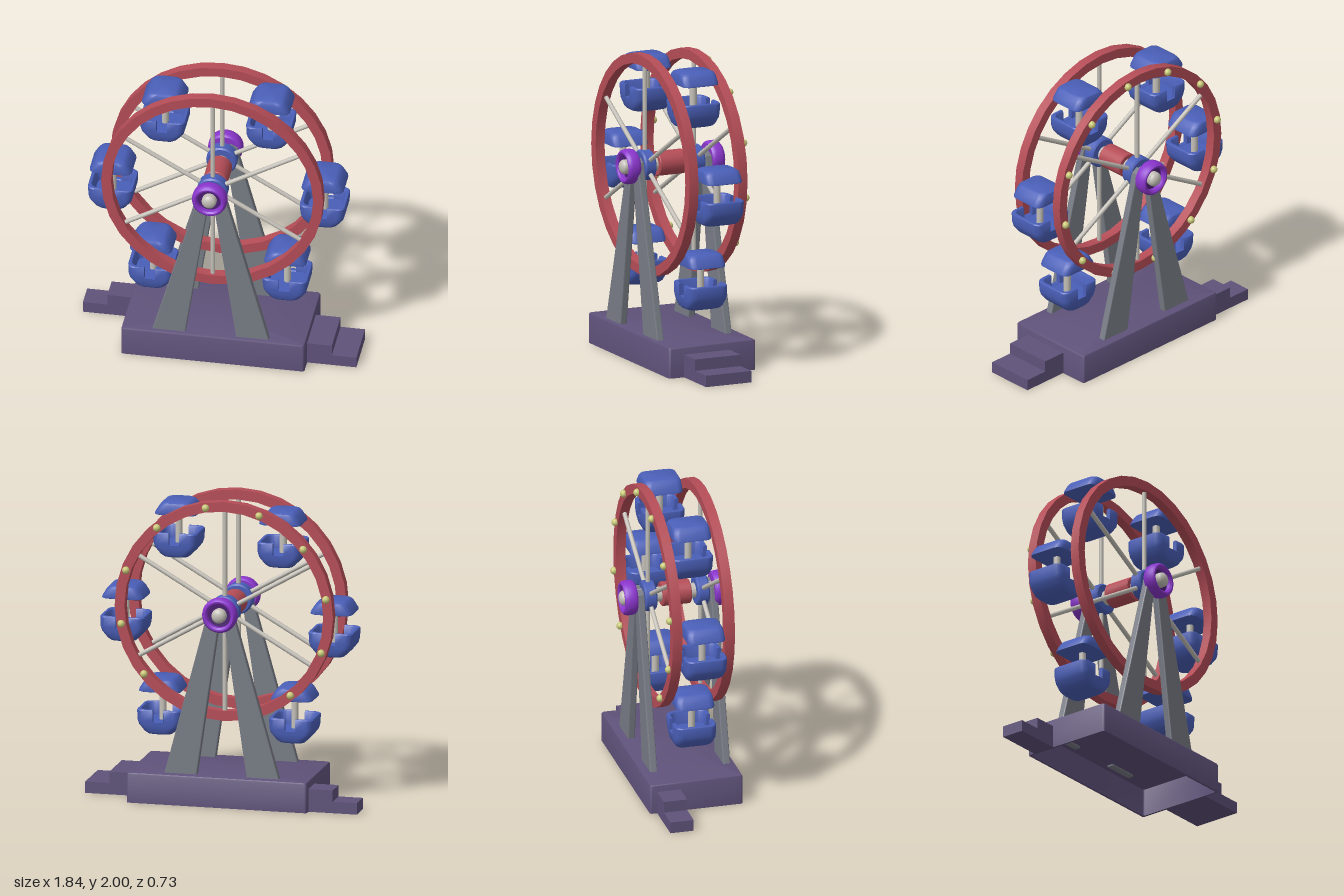
import * as THREE from 'three';
import { toCreasedNormals } from 'three/addons/utils/BufferGeometryUtils.js';

const mat = (name, color, side = THREE.FrontSide) => {
  const m = new THREE.MeshStandardMaterial({ color, side });
  m.name = name;
  return m;
};

// Stack of rounded rectangles; rows are [y, halfX, halfZ]. The optional notch
// lowers the middle of the front and back walls to notchY.
function loft(rows, corner, notch = 0.036, notchY = Infinity) {
  const pos = [], index = [];
  let cols = 0;
  for (const [y, hx, hz] of rows) {
    const r = Math.min(corner, hx, hz), n = Math.min(notch, hx - r);
    const start = pos.length;
    for (let q = 0; q < 4; q++) {
      const sx = q === 0 || q === 3 ? 1 : -1, sz = q < 2 ? 1 : -1;
      for (let k = 0; k <= 4; k++) {
        const a = (q + k / 4) * Math.PI / 2;
        pos.push(sx * (hx - r) + r * Math.cos(a), y, sz * (hz - r) + r * Math.sin(a));
      }
      if (q % 2 === 0) {
        const low = Math.min(y, notchY);
        pos.push(sx * n, y, sz * hz, sx * n, low, sz * hz, -sx * n, low, sz * hz, -sx * n, y, sz * hz);
      }
    }
    cols = (pos.length - start) / 3;
  }
  for (let i = 0; i < rows.length - 1; i++) {
    for (let j = 0; j < cols; j++) {
      const a = i * cols + j, b = i * cols + (j + 1) % cols;
      index.push(a, a + cols, b, b, a + cols, b + cols);
    }
  }
  const g = new THREE.BufferGeometry();
  g.setAttribute('position', new THREE.Float32BufferAttribute(pos, 3));
  g.setIndex(index);
  return toCreasedNormals(g, 0.7);
}

// Turned part whose axis runs along z; points are [radius, z].
function turned(points, segments = 32) {
  const g = new THREE.LatheGeometry(points.map(p => new THREE.Vector2(...p)), segments);
  g.rotateX(Math.PI / 2);
  return toCreasedNormals(g, 0.6);
}

export function createModel() {
  const model = new THREE.Group();
  model.name = 'ferrisWheel';
  const red = mat('red', 0xb54d57), blue = mat('blue', 0x4a5fb8), plum = mat('plum', 0x5f527a);
  const steel = mat('steel', 0x787c85), pale = mat('paleGrey', 0xc4c0b8), yellow = mat('yellow', 0xc9c978);
  const purple = mat('purple', 0x8a35cc), dark = mat('darkPurple', 0x4a1f72);

  const add = (parent, name, geometry, material, x = 0, y = 0, z = 0) => {
    const m = new THREE.Mesh(geometry, material);
    m.name = name;
    m.position.set(x, y, z);
    parent.add(m);
    return m;
  };

  // Hollow base, open underneath
  add(model, 'base', loft([
    [0.185, 0, 0], [0.185, 0.585, 0.295], [0, 0.585, 0.295], [0, 0.598, 0.31],
    [0.188, 0.598, 0.31], [0.197, 0.594, 0.306], [0.2, 0.586, 0.298], [0.2, 0, 0],
  ], 0.015), plum, 0, 0, -0.008);

  // Two steps at each end
  for (const [side, z, depth] of [[1, 0.033, 0.325], [-1, -0.193, 0.155]]) {
    add(model, 'upperStep', new THREE.BoxGeometry(0.165, 0.15, depth), plum, side * 0.6775, 0.075, z);
    add(model, 'lowerStep', new THREE.BoxGeometry(0.16, 0.075, depth), plum, side * 0.84, 0.0375, z);
  }

  // Tapered support legs, a pair in front and a pair behind
  const legs = [
    [[-0.405, 0.175], [-0.187, 0.175], [-0.02, 1.31], [-0.045, 1.335], [-0.085, 1.31]],
    [[0.15, 0.175], [0.367, 0.175], [0.067, 1.31], [0.025, 1.335], [-0.015, 1.31]],
  ];
  for (const z of [0.224, -0.262]) {
    for (const points of legs) {
      const shape = new THREE.Shape(points.map(p => new THREE.Vector2(...p)));
      const g = new THREE.ExtrudeGeometry(shape, {
        depth: 0.032, bevelEnabled: true, bevelThickness: 0.008, bevelSize: 0.006, bevelOffset: -0.006, bevelSegments: 2,
      });
      add(model, 'supportLeg', g, steel, 0, 0, z + 0.008);
    }
  }

  const wheel = new THREE.Group();
  wheel.name = 'wheel';
  wheel.position.set(-0.02, 1.275, 0);
  model.add(wheel);

  // Rims, spokes and flanges on both sides
  const rim = turned([[0.66, -0.032], [0.725, -0.032], [0.725, 0.032], [0.66, 0.032], [0.66, -0.032]]);
  const flange = turned([[0, -0.04], [0.09, -0.04], [0.1, -0.03], [0.1, 0.03], [0.09, 0.04], [0, 0.04]]);
  const spoke = new THREE.CylinderGeometry(0.015, 0.015, 0.63, 10);
  spoke.translate(0, 0.365, 0);
  for (const z of [0.176, -0.174]) {
    add(wheel, 'rim', rim, red, 0, 0, z);
    add(wheel, 'flange', flange, blue, 0, 0, z);
    for (let i = 0; i < 6; i++) add(wheel, 'spoke', spoke, pale, 0, 0, z).rotation.z = i * Math.PI / 3;
  }

  // Axle with its drum
  add(wheel, 'axle', turned([[0, -0.335], [0.048, -0.335], [0.048, 0.325], [0, 0.325]], 24), pale);
  add(wheel, 'drum', turned([[0, -0.09], [0.075, -0.09], [0.08, -0.085], [0.08, 0.095], [0.075, 0.1], [0, 0.1]]), red);

  // Dished hub caps outside the legs
  const cap = turned([
    [0, 0], [0.1, 0], [0.111, 0.012], [0.114, 0.03], [0.114, 0.06], [0.109, 0.078],
    [0.098, 0.088], [0.088, 0.087], [0.078, 0.078], [0.076, 0.045],
  ]);
  const dish = turned([[0.077, 0.052], [0, 0.045]]);
  const knob = new THREE.SphereGeometry(0.048, 20, 12);
  for (const side of [1, -1]) {
    const hub = new THREE.Group();
    hub.name = 'hub';
    hub.position.z = side > 0 ? 0.25 : -0.263;
    if (side < 0) hub.rotation.y = Math.PI;
    add(hub, 'hubCap', cap, purple);
    add(hub, 'hubDish', dish, dark);
    add(hub, 'hubKnob', knob, pale, 0, 0, 0.075).scale.z = 0.65;
    wheel.add(hub);
  }

  // Lights around the back rim
  const bulb = new THREE.SphereGeometry(0.025, 10, 8);
  for (let i = 0; i < 12; i++) {
    const a = (20 + 30 * i) * Math.PI / 180;
    add(wheel, 'light', bulb, yellow, 0.69 * Math.cos(a), 0.69 * Math.sin(a), -0.214);
  }

  // Cabins: canopy, pole and notched tub, measured down from the canopy top
  const canopy = loft([
    [-0.078, 0, 0], [-0.085, 0.132, 0.12], [-0.082, 0.138, 0.126], [-0.07, 0.136, 0.127],
    [-0.025, 0.108, 0.124], [-0.008, 0.094, 0.117], [0, 0.078, 0.1], [0, 0, 0],
  ], 0.045);
  const tub = loft([
    [-0.366, 0, 0], [-0.366, 0.065, 0.095], [-0.36, 0.083, 0.115], [-0.345, 0.1, 0.126], [-0.3, 0.136, 0.133],
    [-0.27, 0.145, 0.135], [-0.207, 0.148, 0.136], [-0.2, 0.143, 0.131], [-0.2, 0.128, 0.115],
    [-0.207, 0.123, 0.11], [-0.285, 0.112, 0.105], [-0.285, 0, 0],
  ], 0.045, 0.036, -0.28);
  const pole = new THREE.CylinderGeometry(0.023, 0.023, 0.22, 16);
  const spots = [[-0.362, 1.925], [0.33, 1.952], [-0.703, 1.353], [0.681, 1.377], [-0.44, 0.768], [0.436, 0.774]];
  for (const [x, y] of spots) {
    const cabin = new THREE.Group();
    cabin.name = 'cabin';
    cabin.position.set(x, y, 0);
    add(cabin, 'canopy', canopy, blue);
    add(cabin, 'pole', pole, pale, 0, -0.177, 0);
    add(cabin, 'tub', tub, blue);
    model.add(cabin);
  }
  return model;
}
